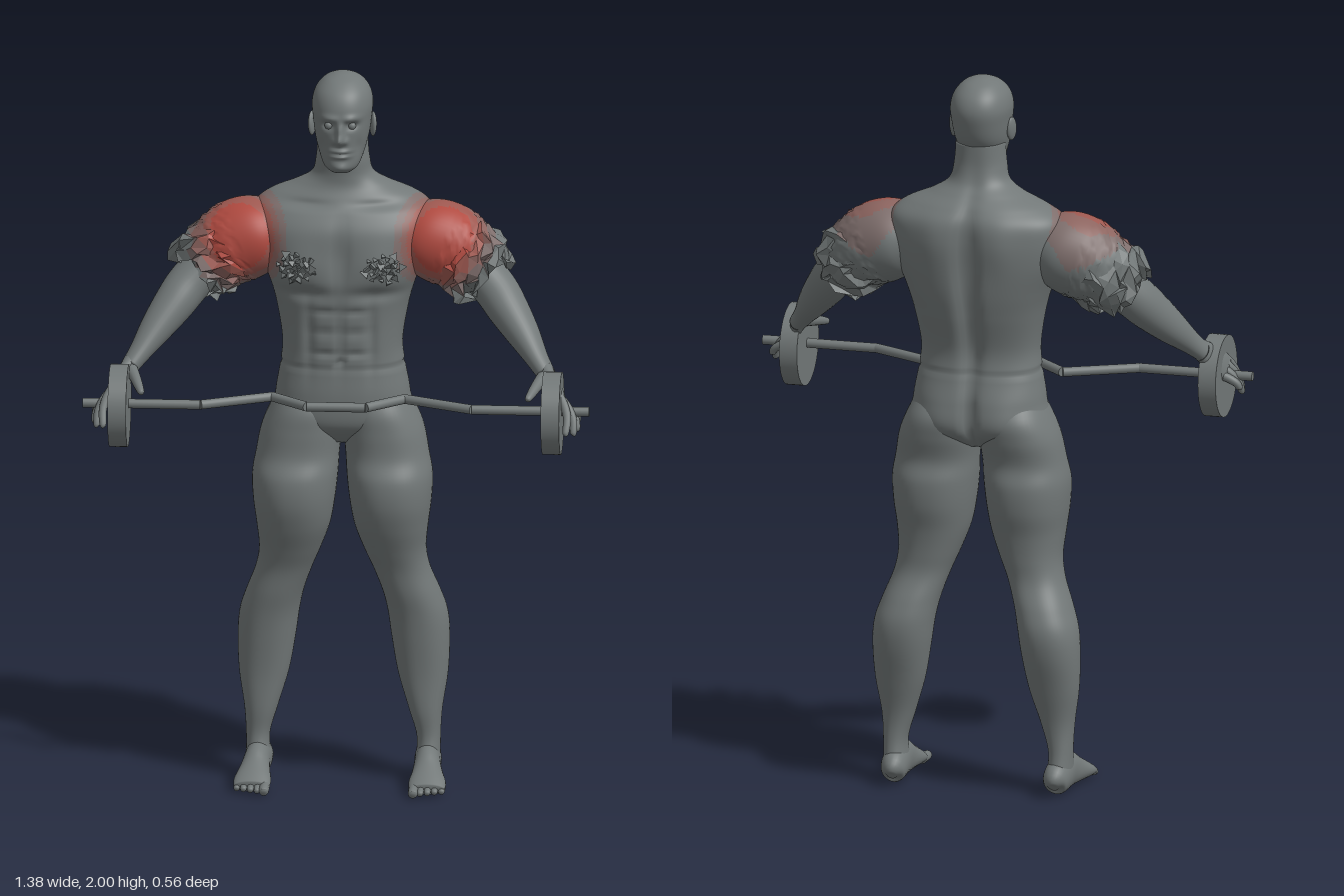
import * as THREE from 'three';
import { mergeGeometries } from 'three/addons/utils/BufferGeometryUtils.js';

const V = (x, y, z) => new THREE.Vector3(x, y, z);
const X = V(1, 0, 0), Y = V(0, 1, 0), Z = V(0, 0, 1);
const bump = (v, c, w) => Math.exp(-(((v - c) / w) ** 2));
let seed = 7;
const rand = () => { seed = (seed * 16807) % 2147483647; return seed / 2147483647 - 0.5; };

const paint = (name, color) => Object.assign(new THREE.MeshStandardMaterial({ color, side: THREE.DoubleSide }), { name });

// Smooth curve through the numbers of neighbouring rows
function blend(rows, f) {
  const i = Math.min(Math.floor(f), rows.length - 2), t = f - i;
  const at = k => rows[Math.max(0, Math.min(rows.length - 1, k))];
  return rows[i].map((b, c) => {
    const a = at(i - 1)[c], d = at(i + 1)[c], e = at(i + 2)[c];
    return b + 0.5 * t * (d - a + t * (2 * a - 5 * b + 4 * d - e + t * (3 * (b - d) + e - a)));
  });
}

// Skin over rows of [x, y, z, radiusU, radiusV, squareness]; rings lie flat unless ref is given
function loft(rows, { ring = 32, steps = 5, ref = null, sculpt = null, caps = true } = {}) {
  const pos = [], idx = [], n = (rows.length - 1) * steps;
  const centre = f => V(...blend(rows, Math.max(0, Math.min(rows.length - 1, f))).slice(0, 3));
  for (let i = 0; i <= n; i++) {
    const f = i / steps, [x, y, z, ru, rv, sq = 2] = blend(rows, f);
    const t = ref ? centre(f + 0.1).sub(centre(f - 0.1)).normalize() : Y;
    const u = ref ? t.clone().cross(ref).normalize() : X, v = u.clone().cross(t);
    for (let j = 0; j < ring; j++) {
      const a = j / ring * Math.PI * 2, c = Math.cos(a), s = Math.sin(a);
      const p = V(x, y, z)
        .addScaledVector(u, ru * Math.sign(c) * Math.abs(c) ** (2 / sq))
        .addScaledVector(v, rv * Math.sign(s) * Math.abs(s) ** (2 / sq));
      if (sculpt) sculpt(p, i / n);
      pos.push(p.x, p.y, p.z);
      const k = (j + 1) % ring, A = i * ring + j, B = i * ring + k;
      if (i < n) idx.push(A, A + ring, B, B, A + ring, B + ring);
    }
  }
  if (caps) {
    const m = pos.length / 3;
    pos.push(...centre(0).toArray(), ...centre(rows.length - 1).toArray());
    for (let j = 0; j < ring; j++) {
      const k = (j + 1) % ring;
      idx.push(m, j, k, m + 1, n * ring + k, n * ring + j);
    }
  }
  const g = new THREE.BufferGeometry();
  g.setAttribute('position', new THREE.Float32BufferAttribute(pos, 3));
  g.setIndex(idx);
  g.computeVertexNormals();
  return g;
}

// Row from [y, xMin, xMax, zFront, zBack, squareness]
const slab = s => ([y, a, b, f, k, sq = 2.2]) => [s * (a + b) / 2, y, (f + k) / 2, (b - a) / 2, (f - k) / 2, sq];

// Sort the faces into colour groups fading away from the shoulder centre
function tint(g) {
  const p = g.attributes.position, bins = [[], [], [], [], []], limits = [0.09, 0.108, 0.125, 0.145];
  for (let i = 0; i < g.index.count; i += 3) {
    const t = [0, 1, 2].map(k => g.index.getX(i + k)), c = V(0, 0, 0);
    t.forEach(k => c.add(V(Math.abs(p.getX(k)), p.getY(k), p.getZ(k)).divideScalar(3)));
    const d = Math.hypot(c.x - 0.275, c.y - 1.54, (c.z + 0.07) * 0.85);
    const bin = limits.findIndex(l => d < l);
    bins[bin < 0 ? 4 : bin].push(...t);
  }
  g.setIndex(bins.flat());
  let start = 0;
  bins.forEach((b, i) => { if (b.length) g.addGroup(start, b.length, i); start += b.length; });
  return g;
}

const faceted = g => { const f = g.toNonIndexed(); f.computeVertexNormals(); return f; };

function torsoSculpt(p) {
  const ax = Math.abs(p.x), { x, y } = p;
  if (p.z < -0.12) { // spine, shoulder blades, buttocks
    p.z += 0.03 * bump(x, 0, 0.025) * bump(y, 1.4, 0.25) + 0.03 * bump(x, 0, 0.014) * bump(y, 1.03, 0.08);
    p.z -= 0.01 * bump(ax, 0.09, 0.05) * bump(y, 1.57, 0.09) + 0.012 * bump(ax, 0.09, 0.06) * bump(y, 1.05, 0.07);
  } else { // chest and abdomen
    p.z += 0.012 * bump(ax, 0.11, 0.07) * bump(y, 1.48, 0.06) - 0.012 * bump(x, 0, 0.02) * bump(y, 1.5, 0.08);
    p.z -= 0.012 * bump(y, 1.4, 0.02) * bump(ax, 0.1, 0.08) + 0.008 * bump(ax, 0.085, 0.014) * bump(y, 1.28, 0.1);
    p.z -= 0.008 * bump(x, 0, 0.01) * bump(y, 1.28, 0.09) + 0.012 * bump(x, 0, 0.008) * bump(y, 1.205, 0.01);
    for (const r of [1.23, 1.29, 1.35]) p.z -= 0.007 * bump(y, r, 0.009) * bump(ax, 0.04, 0.035);
    p.z -= 0.01 * bump(y, 1.64, 0.012) * bump(ax, 0.1, 0.07);
  }
  const seam = 1 - 0.03 * bump(y, 1.185, 0.006);
  p.x *= seam;
  p.z = -0.11 + (p.z + 0.11) * seam;
}

function headSculpt(p) {
  if (p.z < -0.06) return;
  const ax = Math.abs(p.x), y = p.y;
  p.z += 0.03 * bump(ax, 0, 0.011) * bump(y, 1.837, 0.014) + 0.017 * bump(ax, 0, 0.009) * bump(y, 1.862, 0.02);
  p.z += 0.008 * bump(ax, 0.017, 0.007) * bump(y, 1.832, 0.009);
  p.z += 0.008 * bump(ax, 0.03, 0.025) * bump(y, 1.895, 0.01) - 0.013 * bump(ax, 0.033, 0.017) * bump(y, 1.875, 0.011);
  p.z += 0.011 * bump(ax, 0, 0.024) * (bump(y, 1.803, 0.006) + bump(y, 1.788, 0.006)) - 0.004 * bump(ax, 0, 0.024) * bump(y, 1.7955, 0.003);
  p.z += 0.01 * bump(ax, 0, 0.022) * bump(y, 1.755, 0.014) - 0.006 * bump(ax, 0.05, 0.012) * bump(y, 1.81, 0.025);
}

export function createModel() {
  const model = new THREE.Group();
  const body = paint('body grey', 0x727878);
  const shoulder = [paint('shoulder red', 0xb04a40), paint('soft red', 0x9e5850),
    paint('faded red', 0x8c645f), paint('faint red', 0x7e6e6c), body];
  const add = (name, geo, mat = body, parent = model) => {
    const m = new THREE.Mesh(geo, mat);
    m.name = name;
    parent.add(m);
    return m;
  };
  const limb = (pts, radii, ref = X) => loft(pts.map((p, i) => [...p, radii[i], radii[i]]), { ring: 12, steps: 4, ref });

  // Torso with neck: [y, half width, zFront, zBack, squareness]
  const torso = [[0.965, 0.06, -0.06, -0.17, 2], [1.02, 0.185, -0.005, -0.235, 2.3], [1.1, 0.183, 0.003, -0.24, 2.4],
    [1.18, 0.17, 0, -0.225, 2.4], [1.25, 0.164, 0.004, -0.222, 2.4], [1.35, 0.18, 0.012, -0.25, 2.4],
    [1.42, 0.2, 0.022, -0.265, 2.5], [1.5, 0.23, 0.02, -0.272, 2.6], [1.57, 0.245, 0.015, -0.275, 2.5],
    [1.62, 0.24, -0.01, -0.27, 2.3], [1.655, 0.2, -0.035, -0.25, 2], [1.685, 0.13, -0.05, -0.22, 2],
    [1.715, 0.085, -0.052, -0.195, 2], [1.76, 0.073, -0.048, -0.182, 2], [1.82, 0.068, -0.05, -0.18, 2]];
  add('torso', tint(loft(torso.map(([y, w, f, b, q]) => slab(1)([y, -w, w, f, b, q])),
    { ring: 112, steps: 9, sculpt: torsoSculpt })), shoulder);

  // Head: [y, half width, zFront, zBack]
  const head = [[1.738, 0.026, -0.015, -0.06], [1.755, 0.047, 0.0, -0.1], [1.79, 0.062, 0.004, -0.15],
    [1.83, 0.073, 0.007, -0.187], [1.88, 0.08, 0.01, -0.206], [1.92, 0.083, 0.008, -0.212],
    [1.955, 0.074, -0.008, -0.2], [1.982, 0.052, -0.04, -0.172], [1.996, 0.025, -0.075, -0.137], [2, 0.003, -0.1, -0.112]];
  add('head', loft(head.map(([y, w, f, b]) => slab(1)([y, -w, w, f, b])), { ring: 128, steps: 9, sculpt: headSculpt }));

  // Leg: [y, xInner, xOuter, zFront, zBack]
  const leg = [[0.05, 0.195, 0.265, -0.07, -0.198], [0.12, 0.2, 0.265, -0.09, -0.187], [0.2, 0.178, 0.27, -0.085, -0.19],
    [0.3, 0.148, 0.285, -0.083, -0.215], [0.4, 0.13, 0.289, -0.073, -0.243], [0.47, 0.12, 0.283, -0.064, -0.25],
    [0.53, 0.107, 0.264, -0.053, -0.235], [0.6, 0.083, 0.238, -0.042, -0.207], [0.66, 0.058, 0.228, -0.02, -0.205],
    [0.73, 0.033, 0.234, 0.01, -0.213], [0.8, 0.02, 0.243, 0.03, -0.23], [0.87, 0.012, 0.246, 0.03, -0.234],
    [0.93, 0.008, 0.236, 0.008, -0.222], [1, 0.002, 0.222, 0.005, -0.238], [1.06, 0.005, 0.197, 0, -0.24],
    [1.12, 0.03, 0.165, -0.03, -0.2]];
  const foot = [[0.228, 0.03, -0.203, 0.012, 0.016], [0.228, 0.042, -0.19, 0.032, 0.04], [0.23, 0.052, -0.15, 0.037, 0.052],
    [0.232, 0.053, -0.09, 0.036, 0.053], [0.235, 0.04, -0.04, 0.042, 0.04], [0.238, 0.027, 0.01, 0.051, 0.026],
    [0.239, 0.017, 0.045, 0.048, 0.015]];
  const deltoid = [[0.16, 1.55, -0.13, 0.07, 0.08], [0.22, 1.535, -0.125, 0.105, 0.113], [0.28, 1.515, -0.12, 0.115, 0.115],
    [0.335, 1.483, -0.113, 0.104, 0.105], [0.385, 1.445, -0.1, 0.078, 0.078]];
  const cuff = [[0.315, 1.495, -0.115, 0.106, 0.108], [0.352, 1.468, -0.108, 0.104, 0.104],
    [0.385, 1.44, -0.098, 0.094, 0.092], [0.405, 1.42, -0.088, 0.075, 0.075]];
  const forearm = [[0.35, 1.47, -0.115, 0.06, 0.065], [0.415, 1.405, -0.078, 0.06, 0.064], [0.455, 1.355, -0.04, 0.056, 0.062],
    [0.5, 1.298, 0.008, 0.045, 0.052], [0.54, 1.245, 0.058, 0.031, 0.038], [0.568, 1.21, 0.09, 0.025, 0.032]];
  const palm = [[0.56, 1.222, 0.078, 0.028, 0.024], [0.58, 1.195, 0.108, 0.037, 0.021], [0.603, 1.165, 0.142, 0.043, 0.018],
    [0.617, 1.145, 0.16, 0.04, 0.013]];

  for (const s of [1, -1]) {
    const side = new THREE.Group();
    side.name = s > 0 ? 'leftSide' : 'rightSide';
    model.add(side);
    const part = (name, geo, mat) => add(name, geo, mat, side);
    const flip = rows => rows.map(([x, ...r]) => [s * x, ...r]);

    part('leg', loft(leg.map(slab(s)), { ring: 48, steps: 6 }));
    part('foot', loft(flip(foot), { ring: 28, ref: Y }));
    for (let i = 0; i < 5; i++) { // toes, big toe innermost
      const x = 0.203 + i * 0.019, r = i ? 0.0095 : 0.014, tip = 0.083 - i * 0.008;
      part('toe', limb(flip([[x, 0.018, 0.02], [x, 0.015, tip - 0.015], [x, 0.012, tip - 0.003], [x, 0.011, tip]]),
        [r, r, r * 0.8, r * 0.2], Y));
    }

    // Shoulder muscle with crumpled front and torn lower edge
    part('deltoid', tint(loft(flip(deltoid), { ring: 56, steps: 8, ref: Z,
      sculpt: (p, f) => { if (f > 0.5 && f < 0.97) p.add(V(rand(), rand(), rand()).multiplyScalar(0.006)); } })), shoulder);
    part('tornCuff', faceted(tint(loft(flip(cuff), { ring: 24, steps: 2, ref: Z, caps: false,
      sculpt: (p, f) => p.add(V(rand(), rand(), rand()).multiplyScalar(0.018 + 0.026 * f)) }))), shoulder);
    const shards = [];
    for (let i = 0; i < 26; i++) { // crumpled patch on the chest
      const a = i * 2.4, r = Math.sqrt(i / 26), x = 0.12 + 0.055 * r * Math.cos(a);
      shards.push(new THREE.TetrahedronGeometry(0.013 + 0.008 * rand()).rotateX(rand() * 6).rotateY(rand() * 6)
        .translate(s * x, 1.478 + 0.042 * r * Math.sin(a), 0.026 - 0.9 * Math.max(0, x - 0.09) ** 1.6));
    }
    part('chestPatch', mergeGeometries(shards));

    // Forearm and hand
    part('forearm', loft(flip(forearm), { ring: 32, steps: 6, ref: Z }));
    part('palm', loft(flip(palm), { ring: 24, ref: X }));
    const knuckles = [[0.612, 1.17, 0.178], [0.62, 1.155, 0.164], [0.622, 1.142, 0.15], [0.618, 1.13, 0.135]];
    const tips = [[0.628, 1.078, 0.24], [0.648, 1.07, 0.207], [0.656, 1.075, 0.175], [0.658, 1.095, 0.145]];
    knuckles.forEach((k, i) => {
      const t = tips[i], at = f => k.map((v, c) => v + (t[c] - v) * f + (c === 0 ? 0.012 * f * (1 - f) * 4 : 0));
      part('finger', limb(flip([at(-0.25), at(0.1), at(0.5), at(0.92), at(1)]), [0.011, 0.012, 0.011, 0.009, 0.002]));
    });
    part('thumb', limb(flip([[0.566, 1.21, 0.1], [0.55, 1.198, 0.145], [0.537, 1.186, 0.19], [0.527, 1.176, 0.224], [0.525, 1.174, 0.23]]),
      [0.02, 0.016, 0.013, 0.009, 0.002]));

    // Ear and eye
    part('ear', new THREE.SphereGeometry(1, 20, 14).scale(0.009, 0.034, 0.02).rotateY(s * 0.35).rotateX(-0.15)
      .translate(s * 0.083, 1.855, -0.1));
    part('eye', new THREE.SphereGeometry(0.011, 16, 12).translate(s * 0.032, 1.874, -0.007));

    // Weight plate
    part('plate', new THREE.CylinderGeometry(0.113, 0.113, 0.05, 56).rotateZ(Math.PI / 2).translate(s * 0.59, 1.122, 0.168));
  }

  // Angled bar of straight rods
  const half = [[0.08, 0.165], [0.18, 0.07], [0.37, 0.165], [0.69, 0.165]];
  const path = [...half.map(([x, z]) => V(-x, 1.127, z)).reverse(), ...half.map(([x, z]) => V(x, 1.127, z))];
  for (let i = 0; i < path.length - 1; i++) {
    const d = path[i + 1].clone().sub(path[i]);
    const rod = add('barSection', new THREE.CylinderGeometry(0.013, 0.013, d.length(), 20));
    rod.position.copy(path[i]).addScaledVector(d, 0.5);
    rod.quaternion.setFromUnitVectors(Y, d.normalize());
  }
  return model;
}
